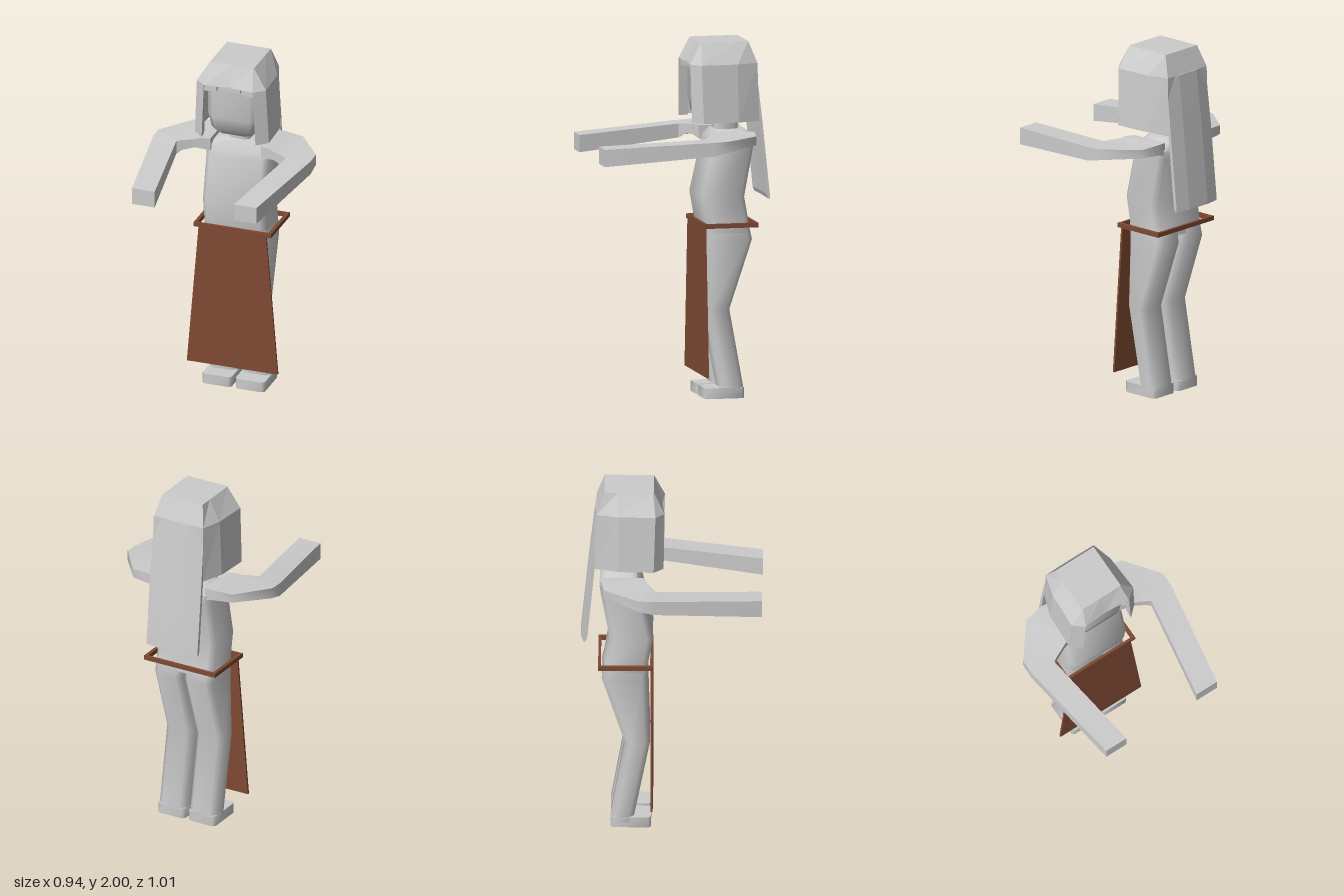
import * as THREE from 'three';
import { toCreasedNormals } from 'three/addons/utils/BufferGeometryUtils.js';

const grey = new THREE.MeshStandardMaterial({ color: 0xcccccc, side: THREE.DoubleSide });
grey.name = 'pale grey';
const brown = new THREE.MeshStandardMaterial({ color: 0x7f4a33 });
brown.name = 'leather brown';

const FLAT = 0.05, SMOOTH = 1.0;

// Skin a stack of equal-length cross-sections, counter-clockwise about the stacking direction
function loft(rings, { crease = SMOOTH, closed = true, caps = true } = {}) {
  const n = rings[0].length, index = [];
  for (let i = 0; i < rings.length - 1; i++) {
    for (let j = 0; j < (closed ? n : n - 1); j++) {
      const a = i * n + j, b = i * n + (j + 1) % n;
      index.push(a, b, b + n, a, b + n, a + n);
    }
  }
  if (caps) {
    const top = (rings.length - 1) * n;
    for (let j = 1; j < n - 1; j++) index.push(0, j + 1, j, top, top + j, top + j + 1);
  }
  const geo = new THREE.BufferGeometry();
  geo.setAttribute('position', new THREE.Float32BufferAttribute(rings.flat(2), 3));
  geo.setIndex(index);
  return toCreasedNormals(geo, crease);
}

// Horizontal rectangle with cut corners
function section(y, x0, x1, z0, z1, c = 0.03) {
  return [[x1, z1 - c], [x1, z0 + c], [x1 - c, z0], [x0 + c, z0],
    [x0, z0 + c], [x0, z1 - c], [x0 + c, z1], [x1 - c, z1]].map(([x, z]) => [x, y, z]);
}

// Turn a half outline of [x, z] points into a symmetric one at height y
function symmetric(y, half) {
  return [...half.map(([x, z]) => [x, y, z]),
    ...half.slice().reverse().map(([x, z]) => [-x, y, z])];
}

// Copy cross-sections to the other side, keeping their winding
const mirror = rings => rings.map(r => r.map(([x, y, z]) => [-x, y, z]).reverse());

function shapeOf(points) {
  return new THREE.Shape(points.map(([x, y]) => new THREE.Vector2(x, y)));
}

export function createModel() {
  const model = new THREE.Group();
  model.name = 'figure';
  const add = (name, geo, mat = grey) => {
    const mesh = new THREE.Mesh(geo, mat);
    mesh.name = name;
    model.add(mesh);
  };

  // Torso and neck
  add('torso', loft([
    section(0.93, -0.185, 0.185, -0.38, -0.135),
    section(0.99, -0.185, 0.185, -0.37, -0.13),
    section(1.13, -0.185, 0.185, -0.345, -0.105),
    section(1.40, -0.185, 0.185, -0.395, -0.165),
    section(1.45, -0.185, 0.185, -0.402, -0.18),
    section(1.50, -0.10, 0.10, -0.37, -0.20),
  ]));
  add('neck', loft([
    section(1.47, -0.06, 0.06, -0.335, -0.205, 0.02),
    section(1.60, -0.06, 0.06, -0.335, -0.205, 0.02),
  ]));

  // Head with a tapered chin
  add('head', loft([
    section(1.555, -0.10, 0.10, -0.38, -0.13),
    section(1.59, -0.13, 0.13, -0.40, -0.10),
    section(1.67, -0.15, 0.15, -0.41, -0.085, 0.04),
    section(1.90, -0.15, 0.15, -0.41, -0.085, 0.04),
  ]));

  // Legs and feet
  const leg = [
    section(0.03, 0.012, 0.185, -0.34, -0.205),
    section(0.06, 0.012, 0.185, -0.34, -0.21),
    section(0.50, 0.012, 0.185, -0.26, -0.122),
    section(0.89, 0.008, 0.185, -0.39, -0.135),
    section(0.98, 0, 0.185, -0.37, -0.13),
  ];
  const foot = [0, 0.06].map(y => section(y, 0.012, 0.185, -0.34, -0.115, 0.015));

  // Arms: outer x, z, inner x, z, bottom y, top y at each joint
  const arm = [
    [0.15, -0.39, 0.15, -0.16, 1.42, 1.495],
    [0.20, -0.395, 0.21, -0.14, 1.435, 1.497],
    [0.32, -0.375, 0.235, -0.13, 1.44, 1.49],
    [0.468, -0.185, 0.30, -0.10, 1.425, 1.487],
    [0.468, -0.10, 0.325, -0.085, 1.405, 1.483],
    [0.37, 0.505, 0.235, 0.505, 1.353, 1.45],
  ].map(([ox, oz, ix, iz, y0, y1]) => [[ox, y0, oz], [ox, y1, oz], [ix, y1, iz], [ix, y0, iz]]);

  for (const [side, flip] of [['left', r => r], ['right', mirror]]) {
    add(side + 'Leg', loft(flip(leg)));
    add(side + 'Foot', loft(flip(foot)));
    add(side + 'Arm', loft(flip(arm)));
  }

  // Hair: faceted crown, side curtain open at the face, notched fringe, long back strand
  add('hairCrown', loft([
    symmetric(1.88, [[0.001, -0.052], [0.145, -0.04], [0.205, -0.09], [0.195, -0.30], [0.16, -0.42]]),
    symmetric(2.0, [[0.001, -0.10], [0.125, -0.10], [0.13, -0.105], [0.13, -0.30], [0.13, -0.375]]),
  ], { crease: FLAT, caps: false }));
  add('hairTop', new THREE.PlaneGeometry(0.26, 0.275).rotateX(-Math.PI / 2).translate(0, 2, -0.2375));
  add('hairCurtain', loft([
    symmetric(1.555, [[0.165, -0.10], [0.16, -0.045], [0.22, -0.10], [0.21, -0.30], [0.165, -0.43]]),
    symmetric(1.88, [[0.15, -0.10], [0.145, -0.04], [0.205, -0.09], [0.195, -0.30], [0.16, -0.42]]),
  ], { crease: FLAT, closed: false, caps: false }));

  const fringe = shapeOf([[-0.15, 1.885], [-0.15, 1.84], [-0.075, 1.845], [-0.075, 1.875], [-0.065, 1.875],
    [-0.065, 1.855], [0.065, 1.855], [0.065, 1.875], [0.075, 1.875], [0.075, 1.845], [0.15, 1.84], [0.15, 1.885]]);
  add('hairFringe', new THREE.ExtrudeGeometry(fringe, { depth: 0.03, bevelEnabled: false }).translate(0, 0, -0.082));

  const strand = (y, w, front, back) => symmetric(y, [[w * 0.45, front], [w, front + 0.005], [w, back + 0.015], [w * 0.45, back]]);
  add('hairBackStrand', loft([
    strand(1.115, 0.165, -0.485, -0.507),
    strand(1.14, 0.165, -0.475, -0.505),
    strand(1.55, 0.165, -0.435, -0.463),
    strand(1.88, 0.16, -0.41, -0.425),
  ], { crease: FLAT }));

  // Rectangular belt hoop
  const belt = shapeOf([[-0.23, 0.105], [0.23, 0.105], [0.23, 0.41], [-0.23, 0.41]]);
  belt.holes.push(new THREE.Path([[-0.21, 0.12], [-0.21, 0.395], [0.21, 0.395], [0.21, 0.12]]
    .map(([x, y]) => new THREE.Vector2(x, y))));
  add('belt', new THREE.ExtrudeGeometry(belt, { depth: 0.025, bevelEnabled: false })
    .rotateX(-Math.PI / 2).translate(0, 0.965, 0), brown);

  // Flared front apron
  const apron = shapeOf([[-0.27, 0.13], [0.27, 0.13], [0.2, 0.975], [-0.2, 0.975]]);
  add('apron', new THREE.ExtrudeGeometry(apron, { depth: 0.012, bevelEnabled: false })
    .translate(0, 0, -0.117), brown);

  return model;
}
